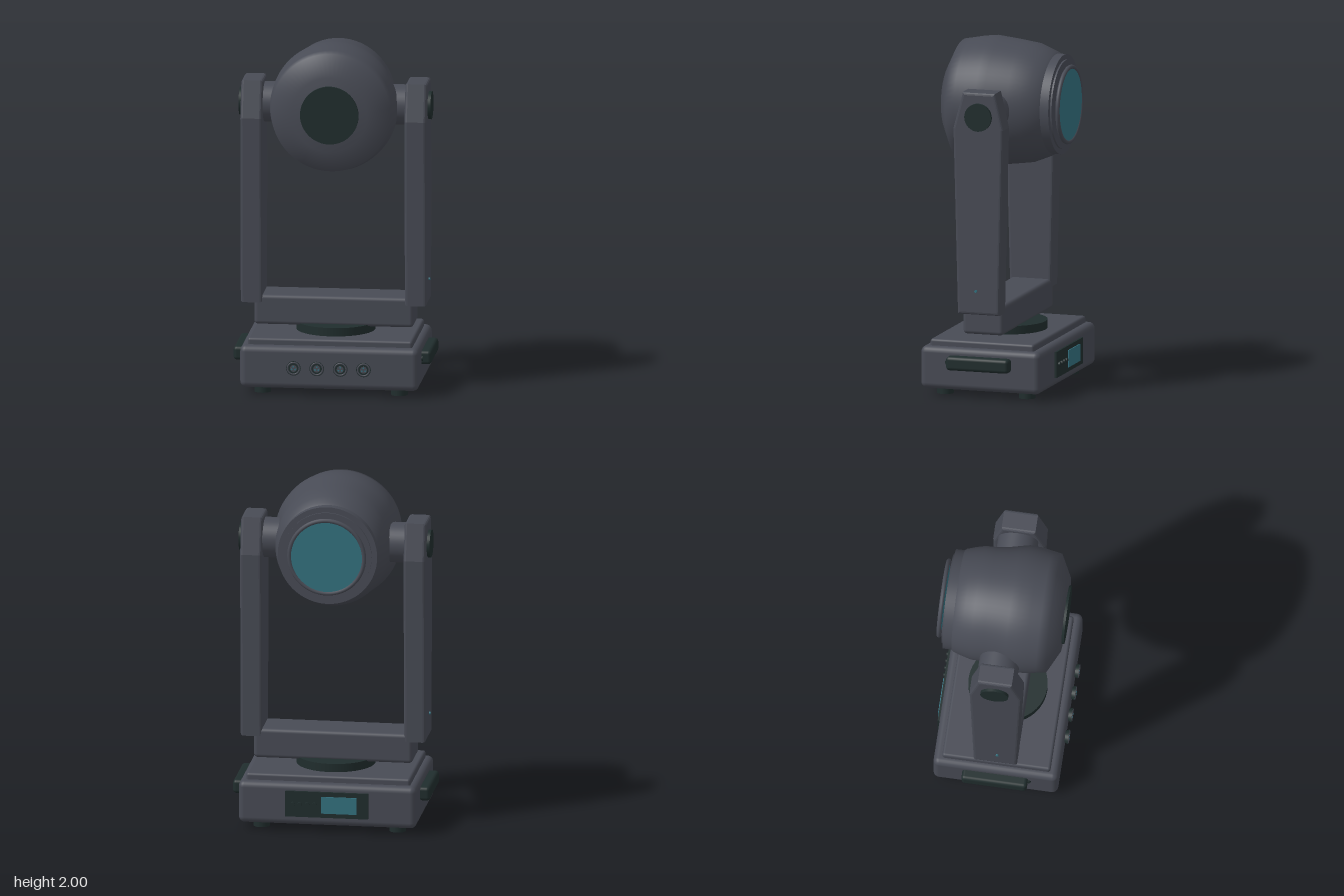
import * as THREE from 'three';
import { RoundedBoxGeometry } from 'three/addons/geometries/RoundedBoxGeometry.js';

export function createModel() {
  const root = new THREE.Group();
  root.name = 'movingHeadLight';
  const mat = (name, color) => Object.assign(new THREE.MeshStandardMaterial({ color }), { name });
  const body = mat('graphite', 0x484b55);
  const dark = mat('darkRubber', 0x202d2d);
  const teal = mat('tealGlass', 0x34717f);

  const add = (name, geo, material, x = 0, y = 0, z = 0) => {
    const m = new THREE.Mesh(geo, material);
    m.name = name;
    m.position.set(x, y, z);
    root.add(m);
    return m;
  };
  const rbox = (w, h, d, r) => new RoundedBoxGeometry(w, h, d, 3, r);
  const cyl = (r, len, axis = 'y', seg = 40, r2 = r) => {
    const g = new THREE.CylinderGeometry(r2, r, len, seg);
    if (axis === 'z') g.rotateX(Math.PI / 2);
    if (axis === 'x') g.rotateZ(Math.PI / 2);
    return g;
  };

  // Base housing, top plate and turntable
  add('baseHousing', rbox(1.02, 0.245, 0.715, 0.035), body, 0, 0.162, 0);
  add('basePlate', rbox(0.94, 0.08, 0.62, 0.015), body, 0, 0.282, 0);
  add('turntable', cyl(0.225, 0.06), dark, 0, 0.34, 0);

  // Feet and side handles
  for (const s of [-1, 1]) {
    for (const t of [-1, 1]) add('foot', cyl(0.048, 0.05, 'y', 24), dark, s * 0.39, 0.025, t * 0.245);
    add('sideHandle', rbox(0.085, 0.08, 0.375, 0.02), dark, s * 0.5225, 0.202, 0);
    add('handleStub', cyl(0.015, 0.02, 'x', 12), dark, s * 0.508, 0.2, 0.19);
  }

  // Front connectors with a flared rim, dark socket and three pins
  for (const x of [-0.2, -0.067, 0.067, 0.2]) {
    add('connectorBody', cyl(0.034, 0.024, 'z', 24, 0.042), dark, x, 0.165, 0.366);
    add('connectorRim', new THREE.TorusGeometry(0.034, 0.005, 8, 28), body, x, 0.165, 0.377);
    add('connectorCore', cyl(0.02, 0.004, 'z', 20), body, x, 0.165, 0.379);
    for (let i = 0; i < 3; i++) {
      const a = Math.PI / 2 + (i * 2 * Math.PI) / 3;
      add('connectorPin', cyl(0.005, 0.004, 'z', 8), teal,
        x + 0.011 * Math.cos(a), 0.165 + 0.011 * Math.sin(a), 0.381);
    }
  }

  // Rear control panel
  add('controlPanel', new THREE.BoxGeometry(0.475, 0.15, 0.016), dark, 0, 0.167, -0.361);
  add('displayScreen', new THREE.BoxGeometry(0.205, 0.098, 0.008), teal, -0.07, 0.167, -0.371);
  for (let i = 0; i < 4; i++) {
    add('panelButton', cyl(0.013, 0.012, 'z', 16), dark, 0.07 + i * 0.042, 0.167, -0.374);
  }

  // Yoke: cross beam and two tapered arms
  add('yokeBeam', rbox(0.91, 0.172, 0.24, 0.022), body, 0, 0.445, 0);
  const outline = new THREE.Shape([
    [0.127, 0.487], [0.154, 1.56], [0.097, 1.77], [-0.097, 1.77], [-0.146, 1.56], [-0.122, 0.487],
  ].map(([z, y]) => new THREE.Vector2(-z, y)));
  const bevel = 0.016;
  const armGeo = new THREE.ExtrudeGeometry(outline, {
    depth: 0.125 - 2 * bevel, bevelThickness: bevel, bevelSize: bevel, bevelOffset: -bevel, bevelSegments: 3,
  });
  armGeo.translate(0, 0, -(0.125 - 2 * bevel) / 2);
  armGeo.rotateY(Math.PI / 2);
  for (const s of [-1, 1]) {
    add('yokeArm', armGeo, body, s * 0.4685, 0, 0);
    add('pivotNeck', cyl(0.115, 0.14, 'x'), body, s * 0.36, 1.63, 0);
    add('pivotCap', cyl(0.08, 0.03, 'x', 32), dark, s * 0.533, 1.63, 0);
    add('indicatorLight', cyl(0.008, 0.02, 'x', 10), teal, s * 0.53, 0.625, 0.015);
  }

  // Head shell: lathe along z, pinched sideways around the pivots
  const profile = [
    [0.27, -0.3], [0.297, -0.275], [0.318, -0.225], [0.34, -0.17], [0.35, -0.1], [0.359, -0.03],
    [0.365, 0.03], [0.37, 0.08], [0.362, 0.15], [0.35, 0.21], [0.34, 0.265], [0.215, 0.33], [0, 0.33],
  ].map(([r, z]) => new THREE.Vector2(r, z));
  const shell = new THREE.LatheGeometry(profile, 64);
  shell.rotateX(Math.PI / 2);
  const p = shell.attributes.position;
  for (let i = 0; i < p.count; i++) {
    const d = (p.getZ(i) + 0.08) / 0.14;
    p.setX(i, p.getX(i) * (1 - 0.075 * Math.exp(-d * d)));
  }
  add('headShell', shell, body, 0, 1.63, 0);
  add('headEndCap', cyl(0.167, 0.018, 'z', 48), dark, 0, 1.63, 0.335);

  // Lens collar, inner ring, bezel and glass
  add('lensCollar', cyl(0.285, 0.062, 'z', 64), body, 0, 1.63, -0.304);
  add('lensInnerRing', cyl(0.254, 0.02, 'z', 64), body, 0, 1.63, -0.335);
  add('lensBezel', new THREE.TorusGeometry(0.214, 0.0125, 10, 64), body, 0, 1.63, -0.367);
  add('lensGlass', cyl(0.208, 0.012, 'z', 64), teal, 0, 1.63, -0.368);

  return root;
}
